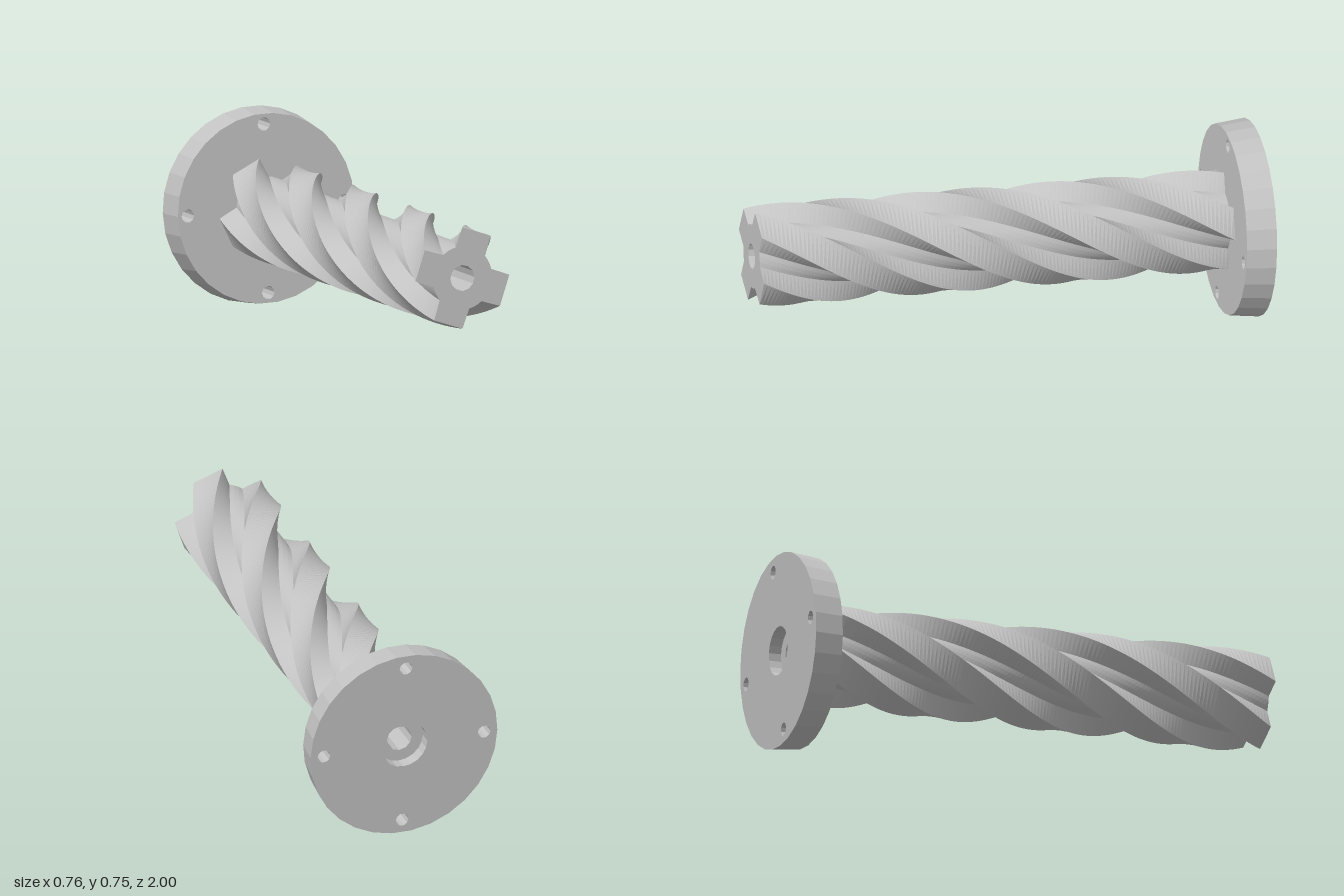
import * as THREE from 'three';

const LENGTH = 1.966;        // whole length along the axis
const FLANGE = 0.115;        // flange thickness
const ROD = LENGTH - FLANGE;
const TWIST = THREE.MathUtils.degToRad(315);
const BORE = 0.05;

const polar = (r, deg) => {
  const a = THREE.MathUtils.degToRad(deg);
  return new THREE.Vector2(r * Math.cos(a), r * Math.sin(a));
};

// Regular polygon outline
function ring(r, sides, cx = 0, cy = 0) {
  const points = [];
  for (let i = 0; i < sides; i++) {
    points.push(polar(r, (i * 360) / sides).add(new THREE.Vector2(cx, cy)));
  }
  return points;
}

// Extrude an outline with holes, then move each vertex by a rule
function extrude(outline, holes, depth, steps, rule) {
  const shape = new THREE.Shape(outline);
  holes.forEach((h) => shape.holes.push(new THREE.Path(h)));
  const geo = new THREE.ExtrudeGeometry(shape, { depth, steps, bevelEnabled: false });
  if (rule) {
    const pos = geo.attributes.position;
    const v = new THREE.Vector3();
    for (let i = 0; i < pos.count; i++) {
      rule(v.fromBufferAttribute(pos, i));
      pos.setXYZ(i, v.x, v.y, v.z);
    }
    geo.computeVertexNormals();
  }
  return geo;
}

export function createModel() {
  const metal = new THREE.MeshStandardMaterial({ color: 0xc2c2c2 });
  metal.name = 'grey metal';

  const model = new THREE.Group();
  model.name = 'flangedScrew';
  const add = (name, geo, z) => {
    const mesh = new THREE.Mesh(geo, metal);
    mesh.name = name;
    mesh.position.z = z;
    model.add(mesh);
  };

  // Flange: slightly tapered disc with four bolt holes and a counterbore
  const boltHoles = [0, 90, 180, 270].map((deg) => {
    const c = polar(0.325, deg);
    return ring(0.026, 10, c.x, c.y);
  });
  const taper = (v) => {
    if (Math.hypot(v.x, v.y) > 0.36) {
      const s = 1 - 0.034 * (v.z / FLANGE);
      v.x *= s;
      v.y *= s;
    }
  };
  add('flange', extrude(ring(0.379, 30), [...boltHoles, ring(0.095, 20)], FLANGE, 1, taper), 0);

  // Counterbore floor around the bore
  add('counterboreFloor', extrude(ring(0.095, 20), [ring(BORE, 12)], FLANGE - 0.05, 1), 0.05);

  // Rod: four flat-topped lobes twisted along the axis, straight bore inside
  const lobes = [];
  for (let i = 0; i < 4; i++) {
    const a = i * 90;
    lobes.push(polar(0.195, a + 51.5), polar(0.195, a + 88.5));
    for (const d of [101.5, 110.5, 119.5, 128.5]) lobes.push(polar(0.123, a + d));
  }
  const twist = (v) => {
    if (Math.hypot(v.x, v.y) > 0.06) {
      v.applyAxisAngle(new THREE.Vector3(0, 0, 1), -TWIST * (1 - v.z / ROD));
    }
  };
  add('twistedRod', extrude(lobes, [ring(BORE, 12)], ROD, 120, twist), FLANGE);

  // The whole part leans up slightly towards the front
  model.rotation.x = -0.0647;
  model.position.set(0, 0.377, -0.975);
  const root = new THREE.Group();
  root.name = 'model';
  root.add(model);
  return root;
}
